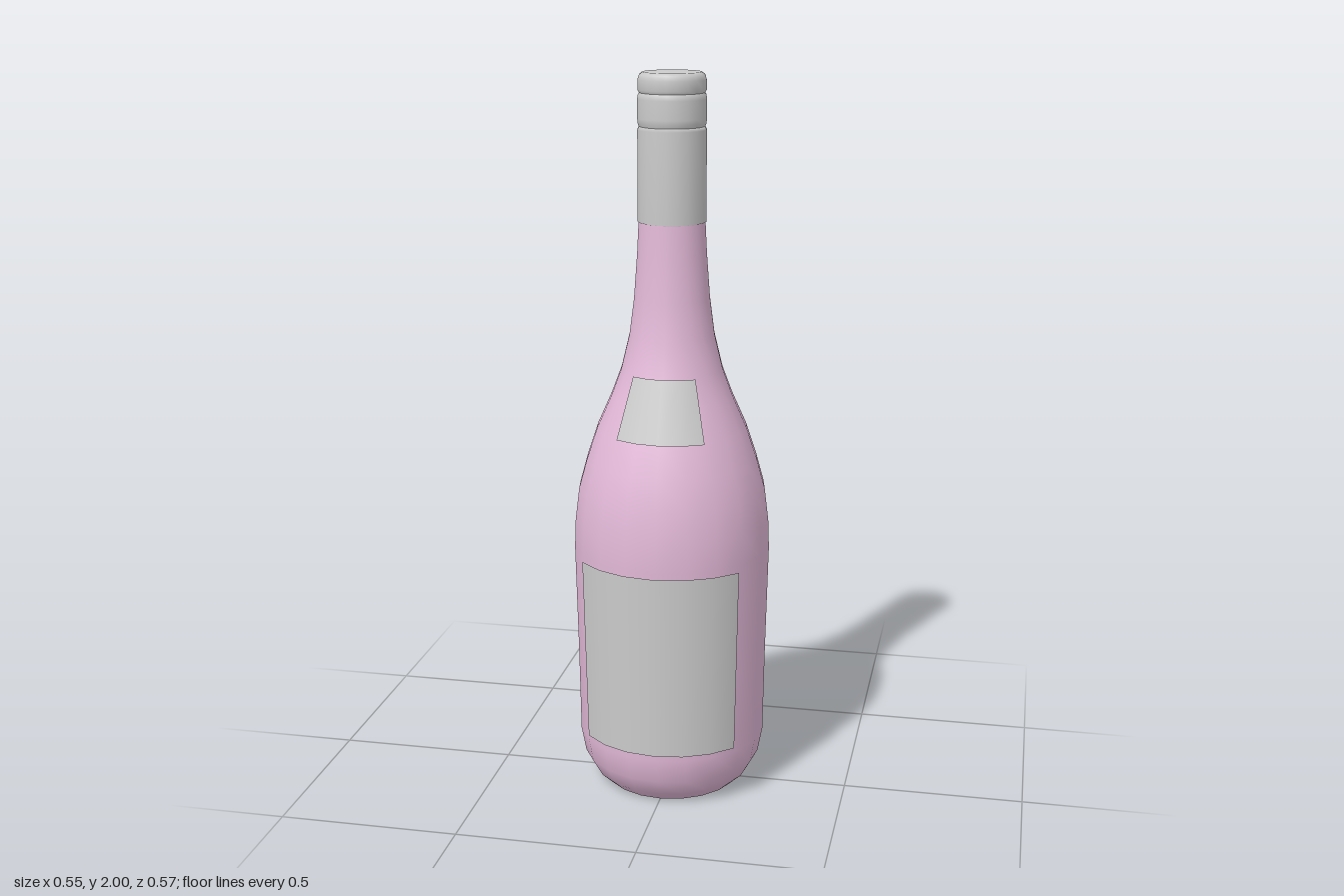
import * as THREE from 'three';

const SIDES = 20;
const rad = THREE.MathUtils.degToRad;

export function createModel() {
  const bottle = new THREE.Group();
  bottle.name = 'bottle';
  const glass = new THREE.MeshStandardMaterial({ color: 0xe3b9d8 });
  const grey = new THREE.MeshStandardMaterial({ color: 0xcccccc });
  const paper = new THREE.MeshStandardMaterial({ color: 0xcccccc, side: THREE.DoubleSide });

  // Turned parts share one axis, slightly off the origin
  const turned = new THREE.Group();
  turned.name = 'turnedParts';
  turned.position.set(-0.005, 0, -0.006);
  turned.rotation.y = 0.036;
  bottle.add(turned);

  function lathe(name, material, profile) {
    const points = profile.map(([r, y]) => new THREE.Vector2(r, y));
    const mesh = new THREE.Mesh(new THREE.LatheGeometry(points, SIDES), material);
    mesh.name = name;
    turned.add(mesh);
  }

  // Curved sheet wrapped around the glass, angles measured from +z towards +x
  function label(name, rTop, rBottom, y0, y1, from, to, segments, x = 0, z = 0) {
    const geometry = new THREE.CylinderGeometry(
      rTop, rBottom, y1 - y0, segments, 1, true, rad(from), rad(to - from));
    const mesh = new THREE.Mesh(geometry, paper);
    mesh.name = name;
    mesh.position.set(x, (y0 + y1) / 2, z);
    bottle.add(mesh);
  }

  // Glass body from the base rim to the neck
  lathe('body', glass, [
    [0.19, 0], [0.222, 0.03], [0.25, 0.08], [0.263, 0.15], [0.267, 0.4], [0.274, 0.7],
    [0.271, 0.78], [0.26, 0.87], [0.238, 0.95], [0.208, 1.04], [0.168, 1.13],
    [0.14, 1.205], [0.117, 1.3], [0.104, 1.4], [0.095, 1.52], [0.09, 1.62],
  ]);
  // Hollow underside
  lathe('punt', glass, [[0, 0.06], [0.08, 0.052], [0.15, 0.03], [0.19, 0]]);

  // Screw cap: sleeve, band and rounded top
  lathe('capSleeve', grey, [[0.088, 1.605], [0.093, 1.607], [0.093, 1.85], [0.088, 1.86], [0, 1.86]]);
  lathe('capBand', grey, [
    [0.087, 1.855], [0.092, 1.868], [0.093, 1.88], [0.093, 1.93], [0.091, 1.942], [0.086, 1.948]]);
  lathe('capTop', grey, [
    [0.086, 1.944], [0.092, 1.954], [0.092, 1.98], [0.088, 1.993], [0.079, 2], [0, 2]]);

  // Paper labels
  label('frontLabel', 0.284, 0.271, 0.17, 0.69, -50, 50, 6);
  label('neckLabel', 0.15, 0.212, 1.04, 1.205, -34.5, 34.5, 4);
  label('backLabel', 0.284, 0.283, 0.15, 0.49, 133.5, 216, 5, -0.004, -0.003);

  return bottle;
}
